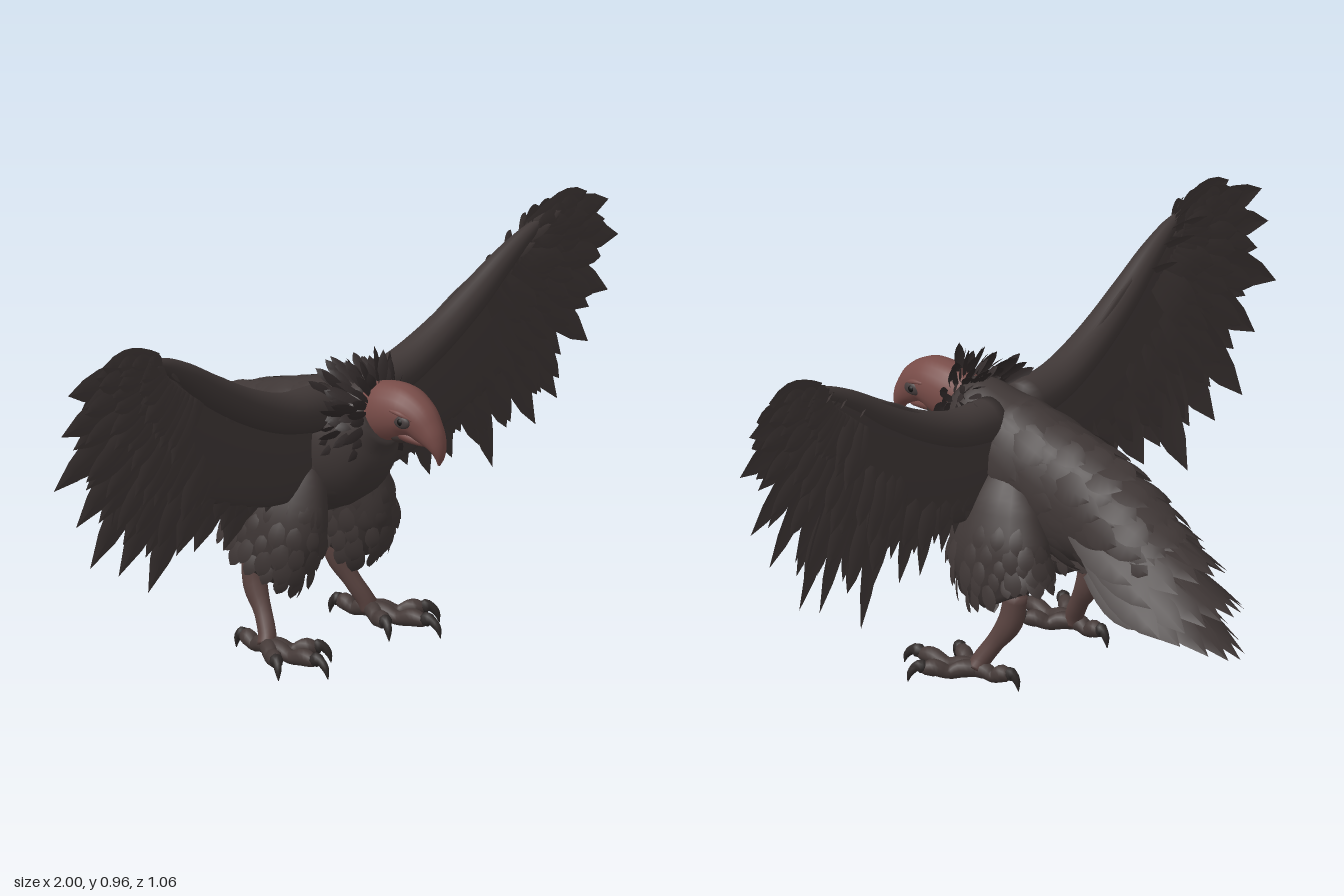
import * as THREE from 'three';
import { mergeGeometries } from 'three/addons/utils/BufferGeometryUtils.js';

const V = (x, y, z) => new THREE.Vector3(x, y, z);
const paint = (name, hex, side = THREE.FrontSide) => {
  const m = new THREE.MeshStandardMaterial({ color: hex, side });
  m.name = name;
  return m;
};

// Smooth tube of changing oval section; points are [x, y, z, width radius, height radius]
function spineOf(points, ref = V(1, 0, 0)) {
  const path = new THREE.CatmullRomCurve3(points.map(p => V(p[0], p[1], p[2])));
  const radii = new THREE.CatmullRomCurve3(points.map(p => V(p[3], p[4], 0)));
  return (t, a) => {
    const T = path.getTangent(t), r = radii.getPoint(t);
    const S = ref.clone().addScaledVector(T, -ref.dot(T)).normalize();
    const U = T.clone().cross(S);
    const c = Math.cos(a), s = Math.sin(a), rw = Math.max(r.x, 0.001), rh = Math.max(r.y, 0.001);
    return {
      T, center: path.getPoint(t),
      pos: path.getPoint(t).addScaledVector(S, c * rw).addScaledVector(U, s * rh),
      normal: S.clone().multiplyScalar(c / rw).addScaledVector(U, s / rh).normalize(),
    };
  };
}

function loft(spine, rows = 24, seg = 16) {
  const pos = [], idx = [];
  for (let i = 0; i <= rows; i++)
    for (let j = 0; j < seg; j++) pos.push(...spine(i / rows, j / seg * Math.PI * 2).pos.toArray());
  const first = pos.length / 3, last = first + 1;
  pos.push(...spine(0, 0).center.toArray(), ...spine(1, 0).center.toArray());
  for (let j = 0; j < seg; j++) {
    const k = (j + 1) % seg;
    for (let i = 0; i < rows; i++) {
      const a = i * seg + j, b = i * seg + k;
      idx.push(a, b, b + seg, a, b + seg, a + seg);
    }
    idx.push(first, k, j, last, rows * seg + j, rows * seg + k);
  }
  const g = new THREE.BufferGeometry();
  g.setAttribute('position', new THREE.Float32BufferAttribute(pos, 3));
  g.setIndex(idx);
  g.computeVertexNormals();
  return g;
}

// One pointed, ridged feather from base along dir, facing normal
const OUTLINE = [0.5, 0.75, 0.92, 1, 0.92, 0.62, 0];
function feather(base, dir, normal, length, width, curl = 0.06) {
  const pos = [], idx = [], n = OUTLINE.length - 1;
  OUTLINE.forEach((w, i) => {
    const t = i / n, h = w * width / 2, z = -curl * length * t * t;
    pos.push(-h, t * length, z, 0, t * length, z + h * 0.2, h, t * length, z);
    if (i < n) for (const c of [0, 1]) {
      const a = i * 3 + c;
      idx.push(a, a + 1, a + 4, a, a + 4, a + 3);
    }
  });
  const g = new THREE.BufferGeometry();
  g.setAttribute('position', new THREE.Float32BufferAttribute(pos, 3));
  g.setIndex(idx);
  g.computeVertexNormals();
  const Y = dir.clone().normalize();
  const X = Y.clone().cross(normal).normalize(), Z = X.clone().cross(Y);
  return g.applyMatrix4(new THREE.Matrix4().makeBasis(X, Y, Z).setPosition(base));
}

export function createModel() {
  const model = new THREE.Group();
  model.name = 'bird';
  const plumage = paint('plumage', 0x3f3736);
  const feathers = paint('feathers', 0x3e3635, THREE.DoubleSide);
  const ruffMat = paint('dark ruff', 0x312a2a, THREE.DoubleSide);
  const skin = paint('bare red skin', 0x784c48);
  const shank = paint('shank skin', 0x58423f);
  const toeMat = paint('toe skin', 0x453a38);
  const clawMat = paint('claw', 0x2f2a29);
  const lid = paint('eyelid', 0x453c3c);
  const eyeMat = paint('eye', 0x141212);

  let seed = 7;
  const rand = () => (seed = (seed * 16807) % 2147483647) / 2147483647;
  const add = (name, geo, mat) => {
    const m = new THREE.Mesh(geo, mat);
    m.name = name;
    model.add(m);
    return m;
  };

  // Overlapping rows of feathers lying on a tube
  function cover(spine, t0, t1, rows, a0, a1, count, length, width, lift) {
    const out = [];
    for (let i = 0; i < rows; i++) for (let j = 0; j < count; j++) {
      const t = t0 + (t1 - t0) * i / (rows - 1);
      const a = a0 + (a1 - a0) * (j + (i % 2) * 0.5 + (rand() - 0.5) * 0.3) / count;
      const p = spine(t, a), s = 0.8 + rand() * 0.4;
      const dir = p.T.clone().addScaledVector(p.normal, lift * (0.5 + rand()));
      out.push(feather(p.pos.addScaledVector(p.normal, -0.003), dir, p.normal, length * s, width * s, 0.1));
    }
    return mergeGeometries(out);
  }

  // Body, running from the neck back to the tail root
  const body = spineOf([
    [0, 0.622, 0.33, 0.06, 0.075], [0, 0.60, 0.29, 0.088, 0.108], [0, 0.54, 0.21, 0.115, 0.155],
    [0, 0.49, 0.10, 0.116, 0.165], [0, 0.46, 0, 0.114, 0.16], [0, 0.43, -0.12, 0.118, 0.125],
    [0, 0.39, -0.22, 0.105, 0.09], [0, 0.34, -0.34, 0.06, 0.05]]);
  add('body', loft(body, 32, 24), plumage);
  add('bodyFeathers', cover(body, 0.3, 0.85, 9, -Math.PI, 0, 10, 0.11, 0.07, 0.13), feathers);
  add('bellyFeathers', cover(body, 0.12, 0.8, 8, 0, Math.PI, 10, 0.08, 0.05, 0.12), feathers);

  // Tail: an arched fan in three layers, the long centre feathers lowest
  const tail = [];
  const layers = [
    { n: 4, y: 0.40, z: -0.14, tipY: 0.175, tipZ: -0.53, side: 0.12, drop: -0.06, back: 0.20, w: 0.085 },
    { n: 4, y: 0.45, z: -0.13, tipY: 0.28, tipZ: -0.51, side: 0.145, drop: 0.04, back: 0.11, w: 0.09 },
    { n: 3, y: 0.50, z: -0.11, tipY: 0.37, tipZ: -0.45, side: 0.14, drop: 0.06, back: 0.08, w: 0.095 },
    { n: 3, y: 0.52, z: -0.08, tipY: 0.435, tipZ: -0.37, side: 0.14, drop: 0.08, back: 0.06, w: 0.1 }];
  for (const l of layers) for (let i = -l.n; i <= l.n; i++) {
    const u = i / l.n, q = u * u;
    const base = V(u * 0.09, l.y - q * 0.07, l.z), tip = V(u * l.side, l.tipY - q * l.drop, l.tipZ + q * l.back);
    const d = tip.sub(base);
    tail.push(feather(base, d, V(u * 1.5, 1, -0.5), d.length(), l.w, 0));
  }
  add('tailFeathers', mergeGeometries(tail), feathers);

  // Head and hooked beak, running forwards and then down
  add('headAndBeak', loft(spineOf([
    [0, 0.60, 0.27, 0.05, 0.06], [0, 0.622, 0.32, 0.054, 0.07], [0, 0.635, 0.36, 0.060, 0.073],
    [0, 0.643, 0.41, 0.058, 0.066], [0, 0.633, 0.45, 0.047, 0.053], [0, 0.612, 0.478, 0.038, 0.042],
    [0, 0.592, 0.498, 0.031, 0.031], [0, 0.572, 0.511, 0.023, 0.02], [0, 0.551, 0.516, 0.013, 0.012],
    [0, 0.53, 0.514, 0.003, 0.003]]), 40, 20), skin);
  add('lowerBeak', loft(spineOf([
    [0, 0.60, 0.38, 0.035, 0.028], [0, 0.588, 0.43, 0.03, 0.02], [0, 0.58, 0.465, 0.021, 0.013],
    [0, 0.572, 0.487, 0.004, 0.004]]), 14, 12), skin);
  const throat = add('throat', new THREE.SphereGeometry(0.035, 16, 12), toeMat);
  throat.scale.set(0.95, 0.75, 1);
  throat.position.set(0, 0.588, 0.395);

  // Ruff: spiky rings of feathers around the neck, sweeping back towards the shoulders
  const ruff = [];
  for (let r = 0; r < 5; r++) for (let i = 0; i < 26; i++) {
    const a = (i + r * 0.5 + rand() * 0.4) / 26 * Math.PI * 2, c = Math.cos(a), s = Math.sin(a);
    const base = V(c * (0.056 + r * 0.008), 0.618 - r * 0.003 + s * (0.068 + r * 0.006), 0.328 - r * 0.02);
    const dir = V(c, s, -0.1 - r * 0.18 + (rand() - 0.5) * 0.6);
    ruff.push(feather(base, dir, V(-s * (rand() - 0.5) * 2, c * (rand() - 0.5) * 2, 1), 0.045 + rand() * 0.045, 0.025, 0.15));
  }
  add('neckRuff', mergeGeometries(ruff), ruffMat);

  for (const s of [1, -1]) {
    const side = s > 0 ? 'left' : 'right';

    // Eye, eyelid and brow
    const lidMesh = add(side + 'Eyelid', new THREE.SphereGeometry(0.025, 16, 12), lid);
    lidMesh.scale.set(0.35, 0.65, 1);
    lidMesh.position.set(s * 0.049, 0.634, 0.438);
    add(side + 'Eye', new THREE.SphereGeometry(0.01, 14, 10), eyeMat).position.set(s * 0.051, 0.635, 0.438);
    add(side + 'Brow', loft(spineOf([
      [s * 0.055, 0.658, 0.405, 0.003, 0.003], [s * 0.051, 0.654, 0.435, 0.008, 0.006],
      [s * 0.038, 0.638, 0.467, 0.003, 0.003]]), 10, 8), skin);

    // Feathered thigh
    const thigh = spineOf([
      [s * 0.075, 0.52, 0.12, 0.035, 0.06], [s * 0.102, 0.44, 0.12, 0.064, 0.115],
      [s * 0.125, 0.34, 0.11, 0.08, 0.143], [s * 0.133, 0.275, 0.09, 0.074, 0.13],
      [s * 0.14, 0.22, 0.06, 0.048, 0.085]]);
    add(side + 'Thigh', loft(thigh, 20, 20), plumage);
    add(side + 'ThighFeathers', cover(thigh, 0.35, 0.8, 5, 0, Math.PI * 2, 15, 0.06, 0.038, 0.22), feathers);

    // Shank
    add(side + 'Shank', loft(spineOf([
      [s * 0.142, 0.24, 0.045, 0.026, 0.03], [s * 0.147, 0.165, 0.058, 0.027, 0.032],
      [s * 0.16, 0.105, 0.095, 0.02, 0.024], [s * 0.176, 0.06, 0.122, 0.021, 0.024],
      [s * 0.185, 0.037, 0.13, 0.025, 0.024]]), 16, 12), shank);

    // Three front toes and one hind toe, each with a curved claw
    [[-0.55, 0.155], [0.08, 0.21], [0.68, 0.165], [Math.PI + 0.15, 0.115]].forEach(([angle, len], i) => {
      const at = (f, y, w, h) => [
        s * (0.185 + Math.sin(angle) * len * f), y, 0.13 + Math.cos(angle) * len * f, w, h];
      add(side + 'Toe' + (i + 1), loft(spineOf([
        at(0, 0.036, 0.021, 0.021), at(0.2, 0.036, 0.02, 0.022), at(0.4, 0.027, 0.018, 0.017),
        at(0.6, 0.038, 0.02, 0.022), at(0.76, 0.036, 0.014, 0.016), at(0.83, 0.034, 0.007, 0.007)]), 16, 10), toeMat);
      add(side + 'Claw' + (i + 1), loft(spineOf([
        at(0.72, 0.038, 0.011, 0.012), at(0.86, 0.042, 0.011, 0.012),
        at(0.96, 0.026, 0.008, 0.009), at(1, 0.002, 0.001, 0.001)]), 10, 8), clawMat);
    });

    // Wing: a rounded arm along the leading edge, and a thin deep sheet below it
    const depth = y => 0.157 + 0.09 * (y - 0.3);
    const wingTube = (name, list, forward) => add(name, loft(spineOf(
      list.map(([x, y, w, h]) => [s * x, y, depth(y) + forward, w, h]), V(0, 0, 1)), 30, 24), plumage);
    wingTube(side + 'WingArm', [[0.06, 0.62, 0.055, 0.06], [0.2, 0.64, 0.052, 0.05], [0.33, 0.69, 0.046, 0.045],
      [0.465, 0.765, 0.038, 0.04], [0.57, 0.835, 0.028, 0.03], [0.65, 0.88, 0.018, 0.02], [0.72, 0.905, 0.006, 0.008]], 0.008);
    wingTube(side + 'WingSheet', [[0.06, 0.53, 0.032, 0.13], [0.2, 0.54, 0.029, 0.135], [0.34, 0.585, 0.026, 0.14],
      [0.48, 0.65, 0.022, 0.15], [0.6, 0.73, 0.017, 0.13], [0.68, 0.80, 0.011, 0.09], [0.74, 0.86, 0.005, 0.03]], 0);

    // Flight feathers fan from the arm to the wing outline
    const curve = list => new THREE.CatmullRomCurve3(list.map(([x, y]) => V(s * x, y, depth(y))));
    const lead = curve([[0.1, 0.6], [0.2, 0.63], [0.33, 0.68], [0.465, 0.75], [0.57, 0.82], [0.64, 0.865], [0.67, 0.895]]);
    const tips = curve([[0.2, 0.42], [0.23, 0.39], [0.30, 0.37], [0.37, 0.33], [0.465, 0.345], [0.545, 0.36],
      [0.62, 0.28], [0.75, 0.36], [0.84, 0.40], [0.92, 0.53], [0.995, 0.64], [1, 0.785], [0.97, 0.88], [0.87, 0.93]]);
    const flight = [], coverts = [];
    for (let i = 0; i <= 26; i++) {
      const t = i / 26, a = lead.getPoint(t), d = tips.getPoint(t).sub(a);
      const short = i % 2 ? 0.84 : 1;
      a.z += (i % 4 - 1.5) * 0.007;
      flight.push(feather(a, d, V(s * 0.2, 0, 1), d.length() * short, 0.085 + 0.015 * Math.sin(t * Math.PI), 0.02));
    }
    add(side + 'FlightFeathers', mergeGeometries(flight), feathers);

    // Coverts on the front and back, in rows shortening towards the arm
    for (const face of [1, -1]) for (const [f, reach, t0, lift] of [[0.42, 0.38, 0.06, 0.02], [0.22, 0.36, 0.4, 0.07], [0.05, 0.3, 0.6, 0.14]])
      for (let i = 0; i <= 15; i++) {
        const t = t0 + (1 - t0) * i / 15, a = lead.getPoint(t), d = tips.getPoint(t).sub(a);
        const base = a.addScaledVector(d, f);
        base.z += face * (0.015 + (0.4 - f) * 0.015);
        const len = d.length() * reach * (0.85 + rand() * 0.3);
        d.normalize().z += face * lift * (0.5 + rand());
        coverts.push(feather(base, d, V(s * 0.15, 0, face), len, 0.058, 0.04));
      }
    // Loose tufts on the wrist
    for (let i = 0; i < 9; i++) {
      const base = lead.getPoint(0.58 + i * 0.04).add(V(0, 0.012, 0));
      coverts.push(feather(base, V(s, 0.42, (i % 3 - 1) * 0.55), V(0, 0.4, 1), 0.1, 0.03, 0.1));
    }
    add(side + 'WingCoverts', mergeGeometries(coverts), feathers);
  }
  return model;
}
